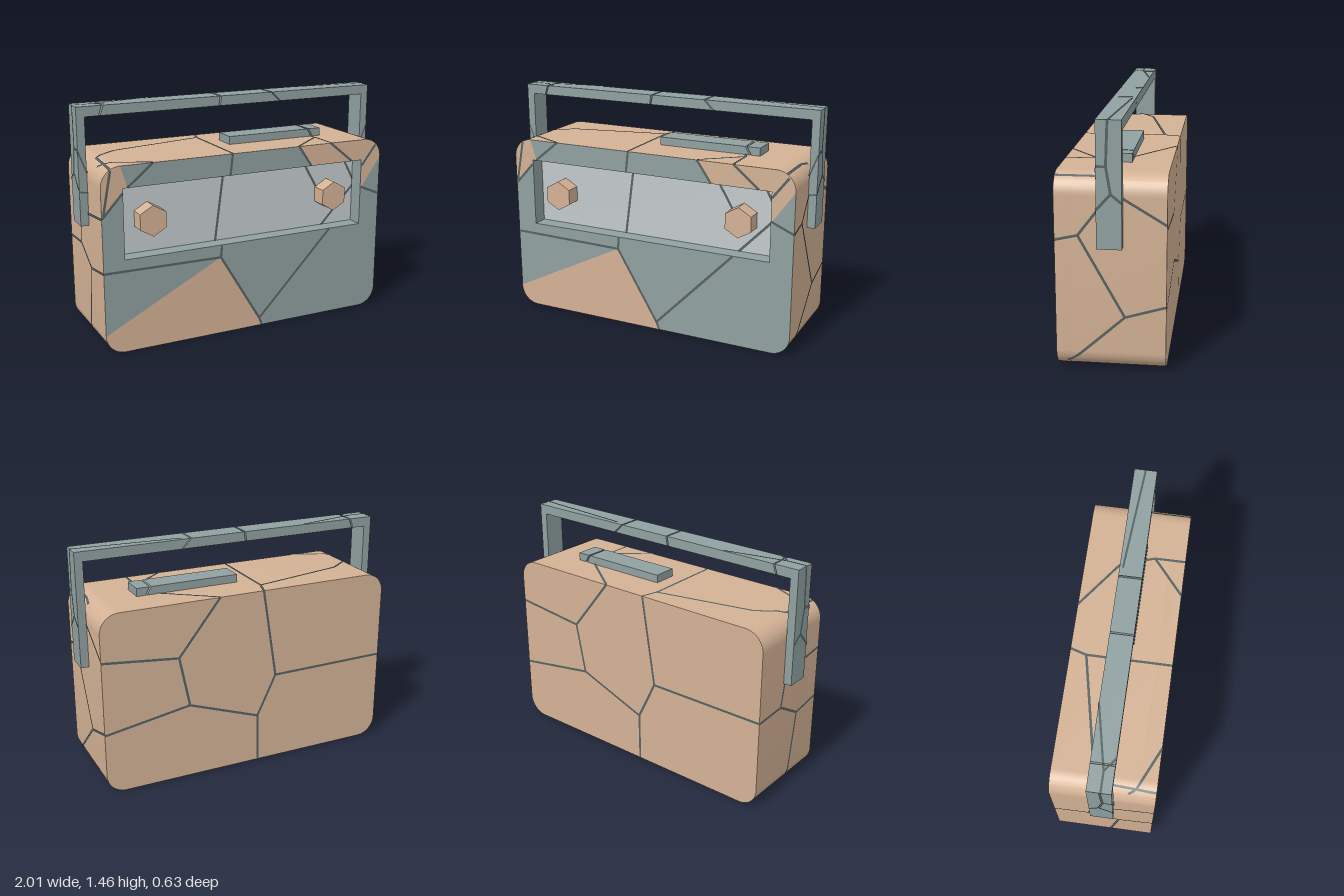
import * as THREE from 'three';
import { toCreasedNormals } from 'three/addons/utils/BufferGeometryUtils.js';

const mat = (color, side = THREE.FrontSide) => new THREE.MeshStandardMaterial({ color, side });
const tan = mat(0xd4b295), teal = mat(0x90a0a0), pale = mat(0xc3cacc);
const tanSheet = mat(0xd4b295, THREE.DoubleSide);
const crackMat = mat(0x566262, THREE.DoubleSide);
const V = (x, y, z) => new THREE.Vector3(x, y, z);

// Body: half width, height, half depth, corner radius; recess rectangle and floor
const W = 0.95, H = 1.14, D = 0.31, R = 0.12, FLOOR = 0.21;
const REC = [-0.82, 0.575, 0.81, 1.01];

export function createModel() {
  const group = new THREE.Group();
  const add = (name, geo, material) => {
    const m = new THREE.Mesh(geo, material);
    m.name = name;
    group.add(m);
    return m;
  };

  const poly = pts => new THREE.Shape(pts.map(p => new THREE.Vector2(...p)));
  const rect = ([x0, y0, x1, y1], e = 0) =>
    poly([[x0 + e, y0 + e], [x1 - e, y0 + e], [x1 - e, y1 - e], [x0 + e, y1 - e]]);
  const extrude = (shape, z0, z1) => new THREE.ExtrudeGeometry(shape,
    { depth: z1 - z0, bevelEnabled: false, curveSegments: 10 }).translate(0, 0, z0);

  function outline() {
    const s = new THREE.Shape();
    s.absarc(W - R, R, R, -Math.PI / 2, 0);
    s.absarc(W - R, H - R, R, 0, Math.PI / 2);
    s.absarc(-W + R, H - R, R, Math.PI / 2, Math.PI);
    s.absarc(-W + R, R, R, Math.PI, Math.PI * 1.5);
    s.closePath();
    return s;
  }

  // Case with a recessed front
  add('bodyShell', toCreasedNormals(extrude(outline(), -D, FLOOR), 0.6), tan);
  const front = outline();
  front.holes.push(rect(REC));
  add('frontFrame', toCreasedNormals(extrude(front, FLOOR, D), 0.6), [teal, tan]);
  const lining = rect(REC);
  lining.holes.push(rect(REC, 0.003));
  add('recessLining', extrude(lining, FLOOR, D), teal);
  add('recessFloor', new THREE.ShapeGeometry(rect(REC)).translate(0, 0, FLOOR + 0.001), pale);

  // Tan broken pieces of the front face
  const lowerCorner = new THREE.Shape();
  lowerCorner.moveTo(-W, 0.51);
  lowerCorner.absarc(-W + R, R, R, Math.PI, Math.PI * 1.5);
  lowerCorner.lineTo(0.09, 0);
  lowerCorner.lineTo(-0.2, 0.5);
  const upperLeft = new THREE.Shape();
  upperLeft.moveTo(-0.63, H);
  upperLeft.absarc(-W + R, H - R, R, Math.PI / 2, Math.PI);
  [[-W, 0.85], [-0.82, 0.98], [-0.82, 1.01], [-0.79, 1.01]].forEach(p => upperLeft.lineTo(...p));
  const upperRight = new THREE.Shape();
  upperRight.moveTo(W, 0.77);
  upperRight.absarc(W - R, H - R, R, 0, Math.PI / 2);
  [[0.34, H], [0.43, 1.01], [0.81, 1.01], [0.81, 0.82]].forEach(p => upperRight.lineTo(...p));
  for (const [name, s] of [['lowerFrontPiece', lowerCorner], ['upperLeftPiece', upperLeft], ['upperRightPiece', upperRight]])
    add(name, new THREE.ShapeGeometry(s, 10).translate(0, 0, D + 0.0015), tanSheet);

  // Hexagonal knobs
  for (const x of [-0.635, 0.605]) {
    const knob = add('knob', toCreasedNormals(
      new THREE.CylinderGeometry(0.095, 0.095, D - FLOOR, 6).rotateX(Math.PI / 2), 0.3), tan);
    knob.position.set(x, 0.79, (D + FLOOR) / 2);
  }

  // Handle bar and top button in chunks, parted by slanted gaps [xTop, xBottom]
  function chunks(name, x0, x1, y0, y1, z0, z1, cuts, gap) {
    const ends = [[x0, x0], ...cuts, [x1, x1]];
    for (let i = 0; i < ends.length - 1; i++) {
      const a = i ? gap / 2 : 0, b = i < cuts.length ? gap / 2 : 0;
      const [l, r] = [ends[i], ends[i + 1]];
      add(name, extrude(poly([[l[1] + a, y0], [r[1] - b, y0], [r[0] - b, y1], [l[0] + a, y1]]), z0, z1), teal);
    }
  }
  chunks('handleBar', -1, 1, 1.39, 1.45, -0.07, 0.07, [[-0.84, -0.86], [-0.08, -0.09], [0.275, 0.335]], 0.01);
  chunks('topButton', -0.02, 0.64, H, 1.19, -0.085, 0.065, [[0.55, 0.58]], 0.012);
  for (const s of [-1, 1])
    add('handleLeg', new THREE.BoxGeometry(0.05, 0.65, 0.14).translate(s * 0.975, 1.065, 0), teal);

  // Crack: a narrow ribbon along a path; without a normal it wraps round the case wall
  function crack(points, normal, width = 0.015) {
    const pos = [], idx = [];
    for (let i = 0; i < points.length - 1; i++) {
      const a = V(...points[i]), b = V(...points[i + 1]), n = normal ? 1 : 16;
      const base = pos.length / 3;
      const tangent = b.clone().sub(a).normalize();
      for (let k = 0; k <= n; k++) {
        const p = a.clone().lerp(b, k / n);
        let up = normal;
        if (!up) {
          const c = V(THREE.MathUtils.clamp(p.x, -W + R, W - R), THREE.MathUtils.clamp(p.y, R, H - R), p.z);
          up = p.clone().sub(c).normalize();
          p.copy(c).addScaledVector(up, R);
        }
        p.addScaledVector(up, 0.003);
        const side = up.clone().cross(tangent).normalize().multiplyScalar(width / 2);
        pos.push(...p.clone().add(side).toArray(), ...p.clone().sub(side).toArray());
        const q = base + 2 * k;
        if (k < n) idx.push(q, q + 1, q + 2, q + 1, q + 3, q + 2);
      }
    }
    const g = new THREE.BufferGeometry();
    g.setAttribute('position', new THREE.Float32BufferAttribute(pos, 3));
    g.setIndex(idx);
    g.computeVertexNormals();
    add('crack', g, crackMat);
  }
  const onZ = (z, lines, dir, w) => lines.forEach(l => crack(l.map(([x, y]) => [x, y, z]), V(0, 0, dir), w));
  const onSide = (x, lines) => lines.forEach(l => crack(l.map(([z, y]) => [x, y, z])));
  const onLevel = (y, lines) => lines.forEach(l => crack(l.map(([x, z]) => [x, y, z])));

  // Front face and recess floor
  onZ(D, [
    [[-W, 0.51], [-0.2, 0.5], [0.07, 0.05], [0.09, 0]],
    [[-0.2, 0.5], [-0.193, 0.575]], [[-0.135, 1.01], [-0.12, H]],
    [[0.07, 0.05], [0.575, 0.575]], [[0.34, H], [0.43, 1.01]], [[0.57, H], [0.73, 1.01]],
    [[0.81, 0.83], [0.83, 0.82], [W, 0.77]], [[0.81, 0.97], [0.91, 1.1]],
    [[-0.63, H], [-0.79, 1.01]], [[-0.82, 0.98], [-W, 0.84]], [[-0.94, 0.86], [-0.89, 1.12]]], 1);
  onZ(FLOOR, [
    [[-0.193, 0.575], [-0.135, 1.01]], [[0.575, 0.575], [0.81, 0.82]],
    [[0.43, 1.01], [0.6, 0.72]], [[0.73, 1.01], [0.81, 0.86]]], 1);

  // Back face
  onZ(-D, [
    [[W, 0.85], [0.47, 0.8], [0.405, 0.48], [-0.056, 0.314], [-0.06, 0]],
    [[0.47, 0.8], [0.2, H]], [[W, 0.39], [0.405, 0.48]],
    [[-0.056, 0.314], [-0.18, 0.573], [-0.09, H]], [[-0.18, 0.573], [-W, 0.58]]], -1);

  // Side walls
  onSide(W, [
    [[0.31, 0.77], [0.18, 0.8], [-0.08, 0.33], [0.25, 0.03]], [[-0.08, 0.33], [-0.31, 0.4]],
    [[0.18, 0.8], [-0.01, 1.05], [-0.31, 0.87]]]);
  onSide(-W, [
    [[-0.31, 0.58], [-0.09, 0.59], [0.095, 0.48], [0.31, 0.51]], [[0.095, 0.48], [0.03, 0.06]],
    [[-0.09, 0.59], [-0.05, 0.8], [0.03, 1.08]], [[-0.05, 0.8], [0.31, 0.84]]]);

  // Top and bottom
  onLevel(H, [
    [[-0.12, 0.31], [-0.12, -0.21], [-0.09, -0.31]], [[-0.12, -0.21], [-0.73, -0.08], [-0.88, 0.03], [-0.89, 0.19]],
    [[-0.63, 0.31], [-0.89, 0.19], [-0.94, 0.15]], [[-0.89, 0.19], [-0.9, 0.31]],
    [[0.2, -0.31], [0.5, -0.09], [0.57, 0.12], [0.34, 0.31]], [[0.57, 0.12], [0.57, 0.31]],
    [[0.91, 0.31], [0.91, 0.07], [0.94, -0.01]]]);
  onLevel(0, [
    [[0.93, 0.25], [0.07, 0.3], [-0.06, -0.2], [-0.06, -0.31]], [[-0.06, -0.2], [-0.93, 0.03]]]);

  // Handle
  const up = V(0, 1, 0);
  crack([[0.33, 1.45, -0.05], [1, 1.45, 0]], up, 0.012);
  crack([[-1, 1.45, 0.01], [-0.88, 1.45, 0.01], [-0.5, 1.45, -0.07]], up, 0.012);
  crack([[-0.88, 1.45, 0.01], [-0.8, 1.45, 0.07]], up, 0.012);
  for (const s of [-1, 1]) {
    crack([[s, 1.45, 0.005], [s, 1.2, 0.015], [s, 1.05, -0.01], [s, 0.96, 0.07]], V(s, 0, 0));
    crack([[s, 1.2, 0.015], [s, 1.2, 0.07]], V(s, 0, 0));
    crack([[s, 1.05, -0.01], [s, 1.0, -0.07]], V(s, 0, 0));
    crack([[s * 0.95, 1.06, 0.07], [s, 1.19, 0.07]], V(0, 0, 1), 0.01);
    crack([[s * 0.95, 0.94, 0.07], [s, 0.95, 0.07]], V(0, 0, 1), 0.01);
  }
  return group;
}
